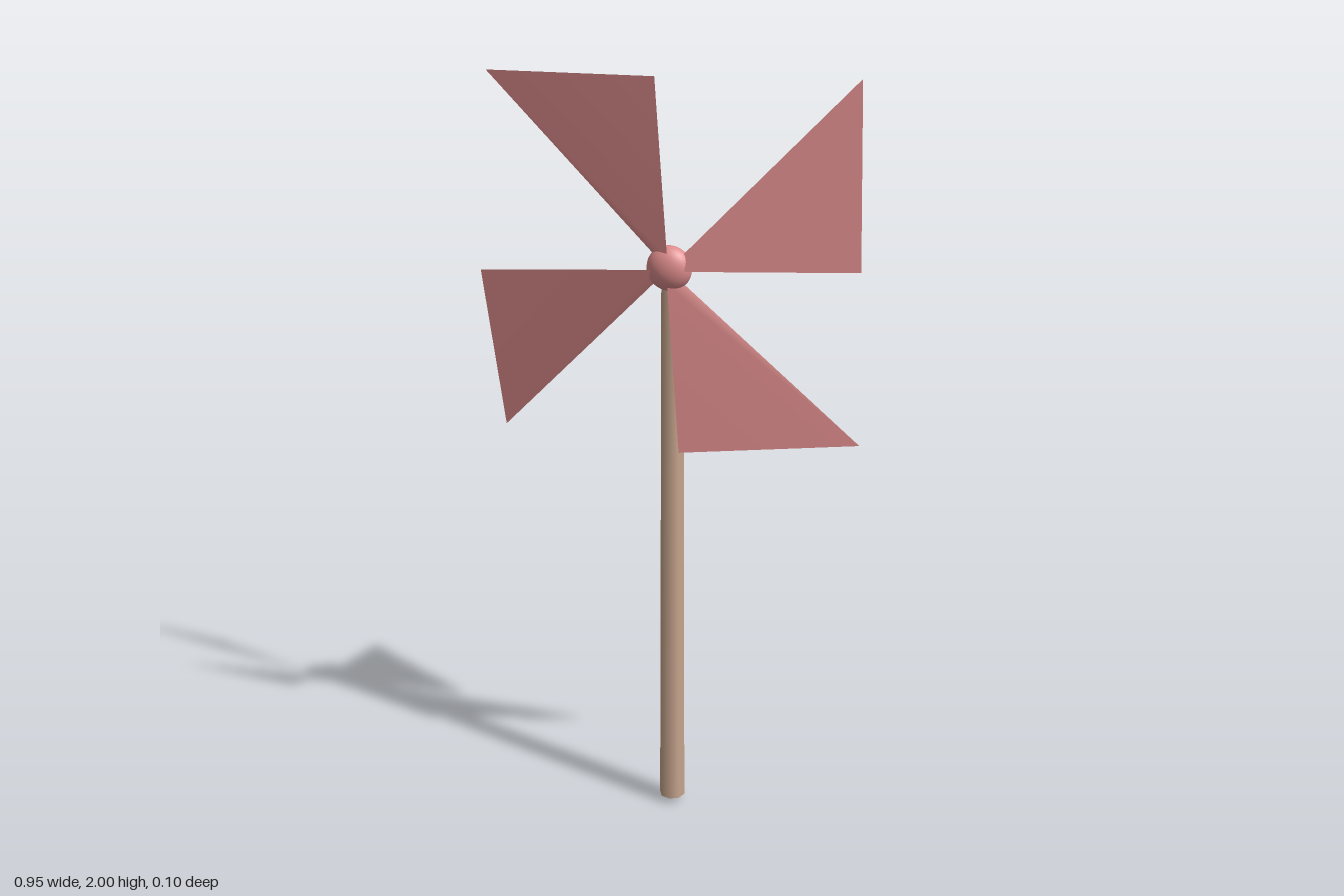
import * as THREE from 'three';

export function createModel() {
  const group = new THREE.Group();
  group.name = 'pinwheel';

  const wood = new THREE.MeshStandardMaterial({ color: 0xc9a78f });
  wood.name = 'tan wood';
  const pink = new THREE.MeshStandardMaterial({ color: 0xde8c8c, side: THREE.DoubleSide });
  pink.name = 'pink';

  const add = (name, geometry, material, parent = group) => {
    const mesh = new THREE.Mesh(geometry, material);
    mesh.name = name;
    parent.add(mesh);
    return mesh;
  };

  // Slightly tapered stick with shallow pointed ends
  const sides = 8, stickZ = -0.02, low = 0.018, high = 1.525;
  const shaft = add('stick', new THREE.CylinderGeometry(0.028, 0.034, high - low, sides, 1, true), wood);
  shaft.position.set(0, (low + high) / 2, stickZ);
  const topCap = add('stickTop', new THREE.ConeGeometry(0.028, 0.015, sides, 1, true), wood);
  topCap.position.set(0, high + 0.0075, stickZ);
  const bottomCap = add('stickBottom', new THREE.ConeGeometry(0.034, low, sides, 1, true), wood);
  bottomCap.rotation.x = Math.PI;
  bottomCap.position.set(0, low / 2, stickZ);

  // Wheel: flattened hub and four pitched blades
  const wheel = new THREE.Group();
  wheel.name = 'wheel';
  wheel.position.set(0, 1.526, 0);
  group.add(wheel);

  const hub = add('hub', new THREE.SphereGeometry(0.057, 24, 16), pink, wheel);
  hub.scale.z = 0.65;
  hub.position.z = 0.013;

  // Blade corners: inner lower, outer lower, outer upper, inner upper
  const blade = new THREE.BufferGeometry();
  blade.setAttribute('position', new THREE.Float32BufferAttribute([
    0.035, 0.0, 0.037,
    0.475, 0.03, 0.039,
    0.45, 0.474, -0.05,
    0.03, 0.032, 0.021,
  ], 3));
  blade.setIndex([0, 1, 2, 0, 2, 3]);
  blade.computeVertexNormals();
  for (let i = 0; i < 4; i++) {
    add('blade' + (i + 1), blade, pink, wheel).rotation.z = i * Math.PI / 2;
  }

  return group;
}
